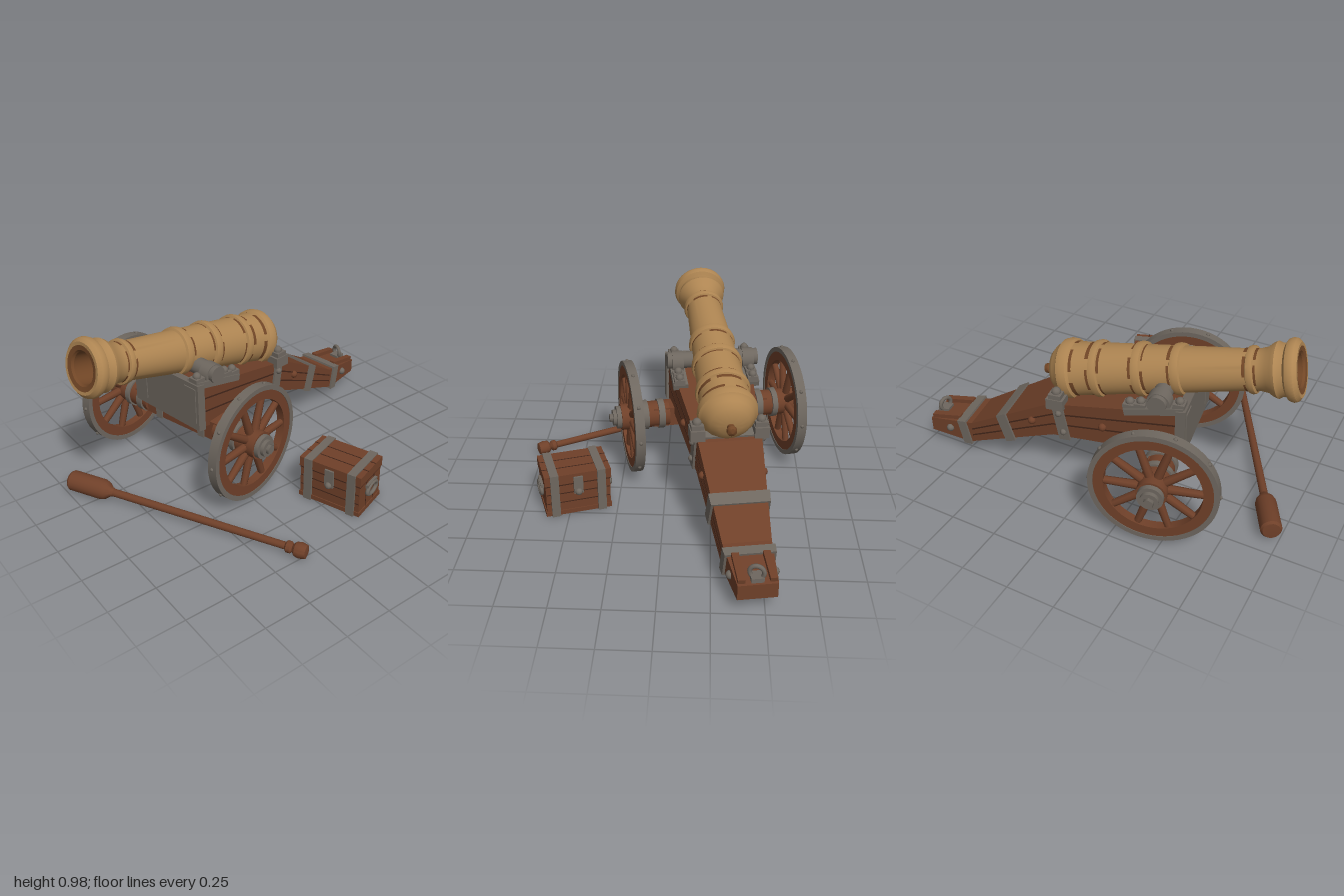
import * as THREE from 'three';
import { toCreasedNormals } from 'three/addons/utils/BufferGeometryUtils.js';

const paint = (name, color) => Object.assign(new THREE.MeshStandardMaterial({ color }), { name });

export function createModel() {
  const wood = paint('wood', 0x6f4029);
  const darkWood = paint('dark wood', 0x43261a);
  const iron = paint('iron', 0x6e675f);
  const bronze = paint('bronze', 0xae8552);
  const rust = paint('tarnish', 0x714626);
  const model = new THREE.Group();

  const group = (parent, name, x, y, z, yaw = 0) => {
    const g = new THREE.Group();
    g.name = name;
    g.position.set(x, y, z);
    g.rotation.y = yaw;
    parent.add(g);
    return g;
  };
  const add = (parent, name, geo, mat, x = 0, y = 0, z = 0) => {
    const m = new THREE.Mesh(geo, mat);
    m.name = name;
    m.position.set(x, y, z);
    parent.add(m);
    return m;
  };
  const box = (w, h, d) => new THREE.BoxGeometry(w, h, d);
  const lathe = (pts, seg = 40) => toCreasedNormals(
    new THREE.LatheGeometry(pts.map(([r, y]) => new THREE.Vector2(r, y)), seg), 0.6);
  const ring = (a, b, h, seg) => lathe([[a, -h], [b, -h], [b, h], [a, h], [a, -h]], seg);
  // cylinder lying along z
  const rodZ = (r, len, seg = 20) => new THREE.CylinderGeometry(r, r, len, seg).rotateX(Math.PI / 2);
  // square washer with a domed bolt head
  const bolt = (parent, x, y, z, r = 0.022) => {
    add(parent, 'boltPlate', box(r * 2.6, 0.03, r * 2.6), iron, x, y, z);
    add(parent, 'boltHead', new THREE.SphereGeometry(r, 10, 6), iron, x, y + 0.02, z);
  };

  // ---- Carriage: tapered trail running along local +x
  const carriage = group(model, 'carriage', -0.34, 0, -0.24, 0.166);
  const half = u => 0.222 - 0.095 * u;
  const follow = pts => u => {
    let i = 1;
    while (i < pts.length - 1 && u > pts[i][0]) i++;
    const [a, b] = [pts[i - 1], pts[i]];
    return a[1] + (b[1] - a[1]) * (u - a[0]) / (b[0] - a[0]);
  };
  const topPts = [[-0.12, 0.63], [0.6, 0.47], [1.08, 0.2], [1.34, 0.16]];
  const botPts = [[-0.12, 0.39], [0, 0.36], [0.58, 0.285], [1.1, 0.07], [1.34, 0.08]];
  const top = follow(topPts), bot = follow(botPts);
  // side profile extruded across the trail, narrowing toward the tail
  const trailBlock = (name, pts, grow, mat) => {
    const geo = new THREE.ExtrudeGeometry(
      new THREE.Shape(pts.map(([u, y]) => new THREE.Vector2(u, y))), { depth: 2, bevelEnabled: false });
    geo.translate(0, 0, -1);
    const p = geo.attributes.position;
    for (let i = 0; i < p.count; i++) p.setZ(i, p.getZ(i) * (half(p.getX(i)) + grow));
    geo.computeVertexNormals();
    return add(carriage, name, geo, mat);
  };
  trailBlock('trail', [...botPts, ...topPts.slice().reverse()], 0, wood);

  // plank seams on the cheeks
  for (const k of [0.36, 0.68]) {
    const y = u => bot(u) + (top(u) - bot(u)) * k;
    const us = [-0.1, 0.58, 1.08];
    trailBlock('plankSeam', [...us.map(u => [u, y(u) - 0.004]),
      ...us.reverse().map(u => [u, y(u) + 0.004])], 0.002, darkWood);
  }

  // iron straps around the trail
  for (const [u, w, lean] of [[-0.105, 0.05, 0], [0.55, 0.06, 0.04], [0.885, 0.055, 0.05], [1.14, 0.05, 0.03]]) {
    const a = u - w / 2, b = u + w / 2, g = 0.012;
    trailBlock('trailStrap', [[a - lean, bot(a - lean) - g], [b - lean, bot(b - lean) - g],
      [b, top(b) + g], [a, top(a) + g]], g, iron);
  }

  // trunnion beds, caps, bolts and side studs, mirrored
  for (const s of [-1, 1]) {
    const bed = add(carriage, 'trunnionBed', box(0.3, 0.035, 0.08), iron, 0.03, 0.602, s * 0.195);
    bed.rotation.z = -0.219;
    add(carriage, 'trunnionCap', rodZ(0.06, 0.06), iron, 0.01, 0.645, s * 0.195);
    for (const [u, y] of [[-0.09, 0.65], [0.1, 0.61], [0.155, 0.597]]) bolt(carriage, u, y, s * 0.2);
    add(carriage, 'breechBracket', box(0.09, 0.06, 0.075), iron, 0.55, 0.5, s * 0.165);
    bolt(carriage, 0.55, 0.54, s * 0.165, 0.025);
    for (const y of [0.33, 0.44])
      add(carriage, 'strapRivet', new THREE.SphereGeometry(0.018, 8, 6), iron,
        0.515 + (y - 0.33) * 0.2, y, s * (half(0.52) + 0.012));
    for (const [u, y] of [[0.3, 0.42], [0.7, 0.34], [1.22, 0.13]])
      add(carriage, 'sideStud', new THREE.SphereGeometry(0.022, 10, 6), u > 1 ? iron : wood, u, y, s * half(u));
    add(carriage, 'tailRib', box(0.17, 0.025, 0.035), wood, 1.245, 0.185, s * 0.075).rotation.z = -0.15;
    add(carriage, 'frontPlate', box(0.02, 0.2, 0.08), iron, -0.125, 0.52, s * 0.19);
  }
  add(carriage, 'trunnions', rodZ(0.046, 0.5), iron, 0.01, 0.655, 0);

  // towing ring at the tail
  add(carriage, 'towRing', new THREE.TorusGeometry(0.034, 0.011, 8, 20).rotateY(Math.PI / 2 - 0.4), iron, 1.3, 0.2, 0);
  add(carriage, 'towRingBase', box(0.06, 0.03, 0.06), iron, 1.3, 0.17, 0);

  // ---- Barrel: lathe from muzzle (0) to breech
  const muzzle = new THREE.Vector3(-0.94, 0.84, -0.16);
  const aim = new THREE.Vector3(1.14, -0.25, -0.165).normalize();
  const barrel = group(model, 'barrel', muzzle.x, muzzle.y, muzzle.z);
  barrel.quaternion.setFromUnitVectors(new THREE.Vector3(0, 1, 0), aim);
  add(barrel, 'barrelBody', lathe([
    [0.088, 0], [0.128, -0.005], [0.146, 0.012], [0.15, 0.03], [0.143, 0.05], [0.124, 0.062], [0.126, 0.085],
    [0.134, 0.1], [0.127, 0.118], [0.108, 0.145], [0.1, 0.18], [0.099, 0.2], [0.112, 0.205], [0.115, 0.22],
    [0.11, 0.235], [0.099, 0.24], [0.113, 0.55], [0.125, 0.555], [0.129, 0.575], [0.125, 0.595], [0.115, 0.6],
    [0.121, 0.745], [0.134, 0.75], [0.138, 0.77], [0.134, 0.79], [0.123, 0.795], [0.13, 0.97], [0.143, 0.975],
    [0.146, 0.99], [0.143, 1.01], [0.132, 1.015], [0.138, 1.12], [0.152, 1.13], [0.157, 1.155], [0.152, 1.18],
    [0.138, 1.19], [0.126, 1.215], [0.1, 1.242], [0.06, 1.26], [0.001, 1.268]], 48), bronze);
  add(barrel, 'bore', lathe([[0.001, 0.4], [0.08, 0.4], [0.08, 0.01], [0.088, -0.001], [0.112, -0.005]], 32), rust);
  add(barrel, 'cascabel', lathe([[0.02, 1.25], [0.018, 1.275], [0.027, 1.29], [0.024, 1.31], [0.001, 1.32]], 16), rust);
  // worn tarnish beside each raised band, broken into patches
  for (const [y, r, h] of [[0.196, 0.1, 0.012], [0.246, 0.1, 0.014], [0.607, 0.116, 0.016], [0.739, 0.1215, 0.012],
    [0.8, 0.124, 0.012], [0.964, 0.1305, 0.014], [1.024, 0.133, 0.02], [1.11, 0.138, 0.022]])
    for (let i = 0; i < 5; i++) {
      const t = i * 1.257 + y * 9;
      add(barrel, 'tarnishPatch', new THREE.CylinderGeometry(r + 0.002, r + 0.002, h * (0.7 + 0.3 * (i % 3)),
        10, 1, true, t, 0.85 + 0.15 * (i % 2)), rust, 0, y, 0);
    }

  // ---- Axle and wheels
  const axle = group(model, 'axle', -0.34, 0.335, -0.232, 0.253);
  add(axle, 'axleBeam', box(0.11, 0.11, 0.66), wood);
  for (const s of [-1, 1]) {
    add(axle, 'axleStub', rodZ(0.074, 0.14), wood, 0, 0, s * 0.31);
    add(axle, 'axleBand', rodZ(0.084, 0.035), iron, 0, 0, s * 0.285);
    add(axle, 'axleBand', rodZ(0.084, 0.03), iron, 0, 0, s * 0.375);
    add(axle, 'beamStrap', box(0.122, 0.122, 0.045), iron, 0, 0, s * 0.15);

    const wheel = group(axle, 'wheel', 0, 0, s * 0.452);
    add(wheel, 'tyre', ring(0.288, 0.314, 0.026, 56).rotateX(Math.PI / 2), iron);
    add(wheel, 'rim', ring(0.238, 0.292, 0.023, 56).rotateX(Math.PI / 2), wood);
    add(wheel, 'hub', rodZ(0.074, 0.12, 24), wood);
    add(wheel, 'hubBand', rodZ(0.064, 0.03, 24), iron, 0, 0, s * 0.07);
    add(wheel, 'hubCap', rodZ(0.045, 0.03), iron, 0, 0, s * 0.09);
    add(wheel, 'hubNut', rodZ(0.026, 0.025, 6), iron, 0, 0, s * 0.11);
    for (let i = 0; i < 10; i++) {
      const a = (i + 0.5) * Math.PI / 5;
      const spoke = add(wheel, 'spoke', new THREE.CylinderGeometry(0.018, 0.023, 0.2, 8), wood,
        -Math.sin(a) * 0.155, Math.cos(a) * 0.155, 0);
      spoke.rotation.z = a;
      add(wheel, 'tyreStud', new THREE.SphereGeometry(0.011, 6, 5), iron,
        Math.sin(a) * 0.313, Math.cos(a) * 0.313, 0);
    }
  }

  // ---- Ammunition chest, long along local z
  const chest = group(model, 'chest', 0.134, 0, 0.487, 0.335);
  add(chest, 'chestBox', box(0.225, 0.18, 0.345), wood, 0, 0.097, 0);
  add(chest, 'chestLid', box(0.235, 0.055, 0.355), wood, 0, 0.22, 0);
  add(chest, 'lidGap', box(0.23, 0.01, 0.35), darkWood, 0, 0.189, 0);
  add(chest, 'chestBase', box(0.235, 0.025, 0.355), wood, 0, 0.018, 0);
  for (const x of [-0.04, 0.04]) {
    add(chest, 'lidSeam', box(0.005, 0.004, 0.357), darkWood, x, 0.247, 0);
    add(chest, 'bodySeam', box(0.005, 0.15, 0.348), darkWood, x, 0.105, 0);
  }
  for (const y of [0.08, 0.135]) add(chest, 'sideSeam', box(0.228, 0.005, 0.34), darkWood, 0, y, 0);
  for (const s of [-1, 1]) {
    add(chest, 'chestStrap', box(0.25, 0.252, 0.045), iron, 0, 0.127, s * 0.125);
    // hasps on the long sides
    add(chest, 'haspPlate', box(0.02, 0.1, 0.05), iron, s * 0.118, 0.18, 0);
    add(chest, 'haspKnob', new THREE.SphereGeometry(0.02, 10, 8), iron, s * 0.126, 0.14, 0);
    // carrying handles on the ends
    const handle = add(chest, 'handle', new THREE.TorusGeometry(0.038, 0.011, 8, 20), iron, 0, 0.125, s * 0.185);
    handle.scale.set(1.3, 0.8, 1);
    add(chest, 'handlePlate', box(0.1, 0.022, 0.02), iron, 0, 0.155, s * 0.178);
  }

  // ---- Rammer lying on the ground, head first
  const start = new THREE.Vector3(-0.965, 0.062, -0.415);
  const end = new THREE.Vector3(-0.32, 0.042, 0.775);
  const len = start.distanceTo(end);
  const rammer = group(model, 'rammer', start.x, start.y, start.z);
  rammer.quaternion.setFromUnitVectors(new THREE.Vector3(0, 1, 0), end.sub(start).normalize());
  add(rammer, 'rammerHead', lathe([[0.001, 0], [0.045, 0.003], [0.054, 0.015], [0.054, 0.2], [0.046, 0.225],
    [0.026, 0.25], [0.02, 0.27]], 20), wood);
  add(rammer, 'rammerShaft', new THREE.CylinderGeometry(0.019, 0.021, len - 0.32, 14), wood, 0, len / 2 + 0.08, 0);
  add(rammer, 'rammerKnob', lathe([[0.018, len - 0.12], [0.03, len - 0.11], [0.03, len - 0.09], [0.02, len - 0.08],
    [0.036, len - 0.065], [0.041, len - 0.04], [0.034, len - 0.01], [0.001, len]], 18), wood);

  return model;
}
